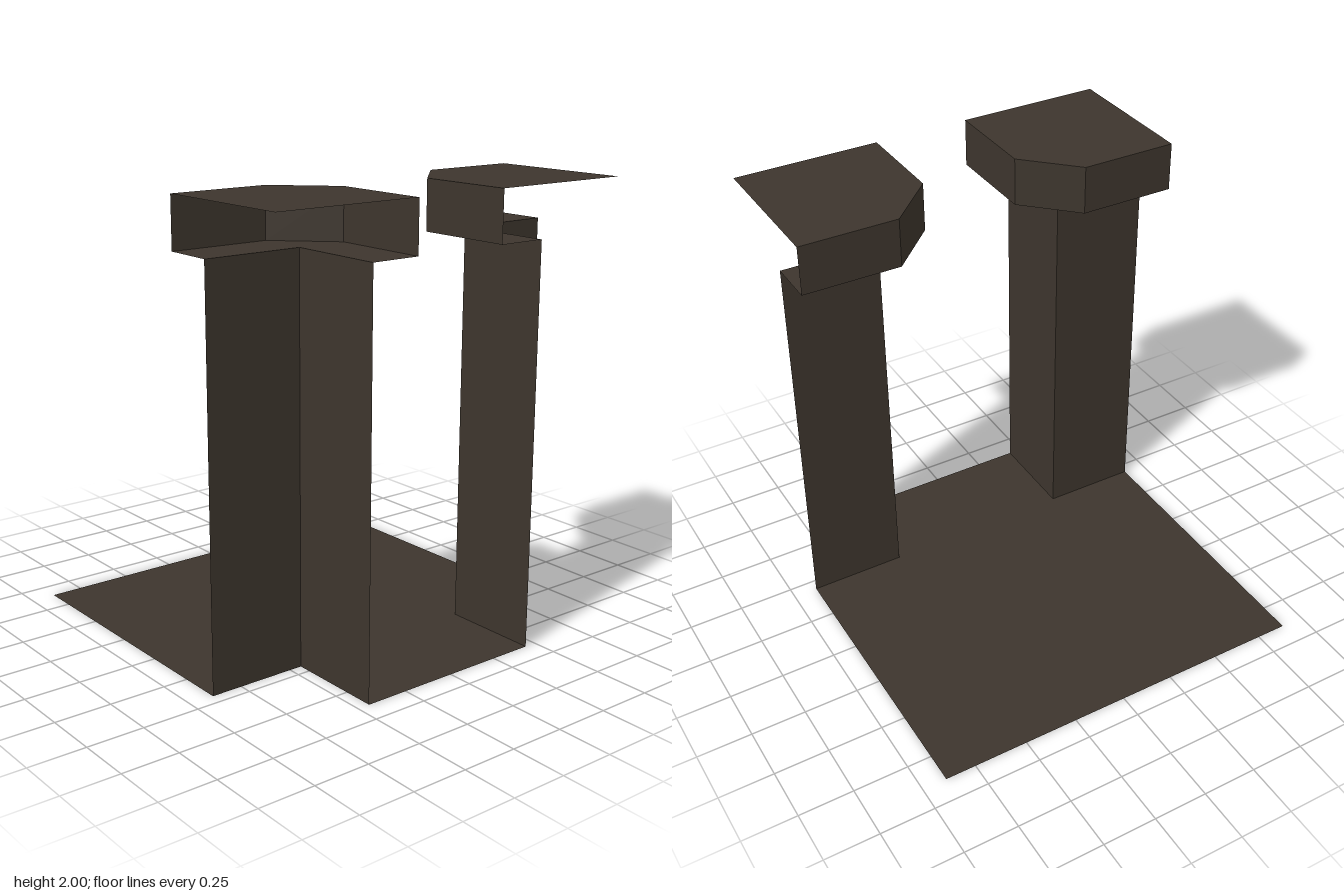
import * as THREE from 'three';

const E = 0.89;   // outer edge
const C = 0.444;  // column inner edge
const K = 0.222;  // cap inner edge
const H = 2;
const CAP = 1.778; // underside of the caps

export function createModel() {
  const model = new THREE.Group();
  const darkBrown = new THREE.MeshStandardMaterial({ color: 0x3d352d, side: THREE.DoubleSide, flatShading: true });
  darkBrown.name = 'darkBrown';

  const add = (parent, name, geometry) => {
    const mesh = new THREE.Mesh(geometry, darkBrown);
    mesh.name = name;
    parent.add(mesh);
  };

  // Flat sheet at height y from [x, z] corners, facing up or down
  const sheet = (corners, y, up) => {
    const s = up ? -1 : 1;
    const shape = new THREE.Shape(corners.map(([x, z]) => new THREE.Vector2(x, s * z)));
    return new THREE.ShapeGeometry(shape).rotateX(s * Math.PI / 2).translate(0, y, 0);
  };

  // Open upright wall along a path of [x, z] points
  const wall = (path, y0, y1) => {
    const pos = [];
    for (let i = 0; i < path.length - 1; i++) {
      const [ax, az] = path[i], [bx, bz] = path[i + 1];
      pos.push(ax, y0, az, ax, y1, az, bx, y1, bz);
      pos.push(ax, y0, az, bx, y1, bz, bx, y0, bz);
    }
    const g = new THREE.BufferGeometry();
    g.setAttribute('position', new THREE.Float32BufferAttribute(pos, 3));
    g.computeVertexNormals();
    return g;
  };

  // Floor with a notch under each column
  add(model, 'floor', sheet([
    [-E, -E], [C, -E], [C, -C], [E, -C], [E, C], [C, C], [C, E], [-E, E],
  ], 0, true));

  // Two mirrored corner columns, open on their outer sides
  const columnPath = [[C, E], [C, C], [E, C]];
  const capPath = [[K, E], [K, C], [C, K], [E, K]];
  for (const side of [1, -1]) {
    const column = new THREE.Group();
    column.name = side > 0 ? 'frontColumn' : 'backColumn';
    column.scale.z = side;
    add(column, 'columnWalls', wall(columnPath, 0, CAP));
    add(column, 'capWalls', wall(capPath, CAP, H));
    add(column, 'capTop', sheet([...capPath, [E, E]], H, true));
    add(column, 'capUnderside', sheet([...capPath, ...[...columnPath].reverse()], CAP, false));
    model.add(column);
  }
  return model;
}
